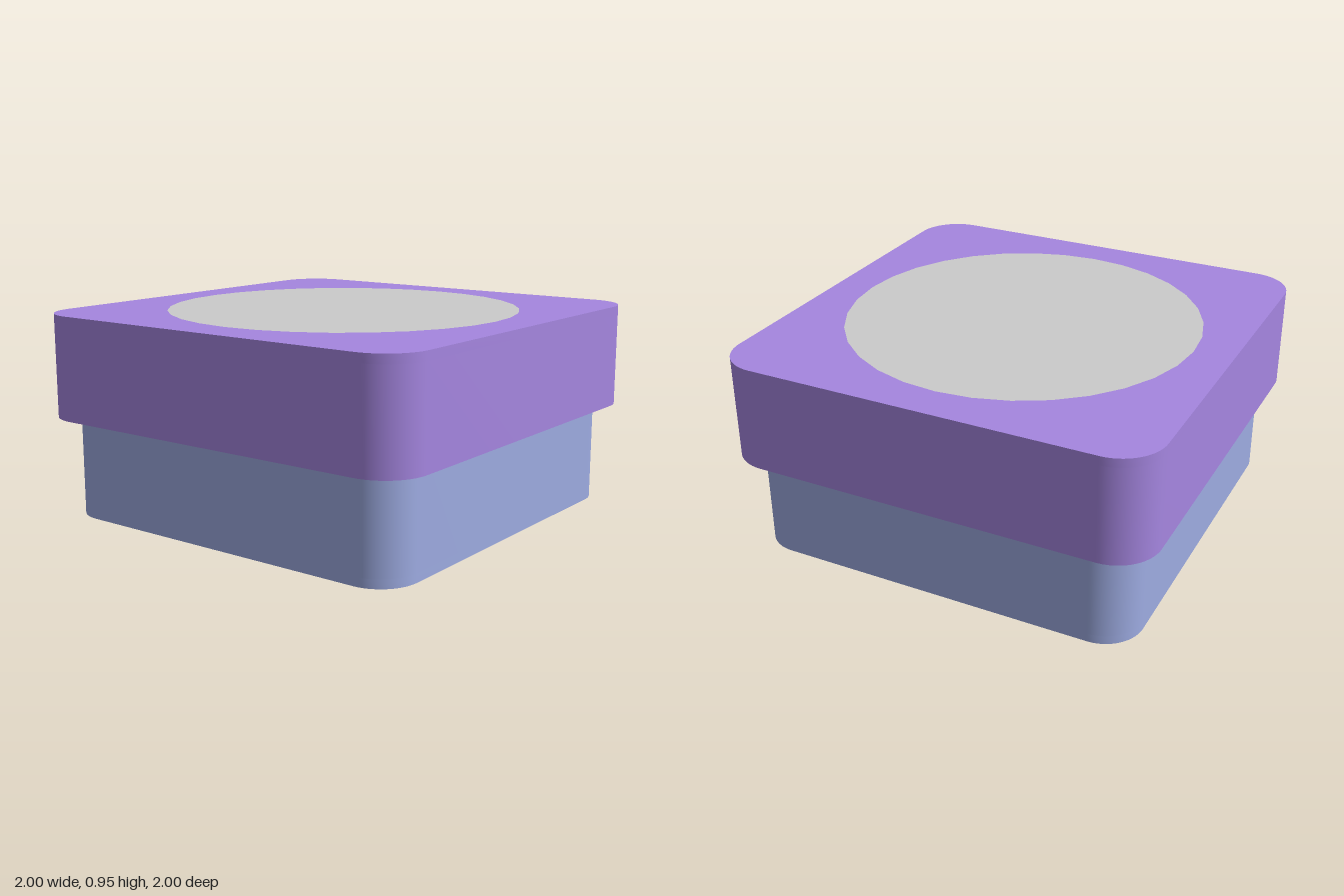
import * as THREE from 'three';
import { toCreasedNormals } from 'three/addons/utils/BufferGeometryUtils.js';

// Square outline with rounded corners, h = half width
function trace(path, h, r) {
  const c = h - r;
  path.moveTo(c, -h);
  path.absarc(c, -c, r, -Math.PI / 2, 0);
  path.absarc(c, c, r, 0, Math.PI / 2);
  path.absarc(-c, c, r, Math.PI / 2, Math.PI);
  path.absarc(-c, -c, r, Math.PI, Math.PI * 1.5);
  path.closePath();
  return path;
}

// Upright slab from y0 to y1, hollowed by a wall thickness if one is given
function slab(name, color, h, r, y0, y1, wall = 0) {
  const shape = trace(new THREE.Shape(), h, r);
  if (wall) shape.holes.push(trace(new THREE.Path(), h - wall, r - wall));
  const extruded = new THREE.ExtrudeGeometry(shape, {
    depth: y1 - y0, bevelEnabled: false, curveSegments: 10,
  });
  const geometry = toCreasedNormals(extruded, 0.6);
  geometry.rotateX(-Math.PI / 2).translate(0, y0, 0);
  const mesh = new THREE.Mesh(geometry, new THREE.MeshStandardMaterial({ color }));
  mesh.name = name;
  return mesh;
}

export function createModel() {
  const model = new THREE.Group();
  model.name = 'giftBox';
  const blue = 0x9dabe1, purple = 0xa586e0;

  // Open container
  const base = new THREE.Group();
  base.name = 'base';
  base.add(slab('baseFloor', blue, 0.92, 0.18, 0, 0.04));
  base.add(slab('baseWalls', blue, 0.92, 0.18, 0.04, 0.86, 0.04));

  // Hollow lid that fits over the container with a small gap
  const lid = new THREE.Group();
  lid.name = 'lid';
  lid.add(slab('lidWalls', purple, 1, 0.2, 0.465, 0.905, 0.035));
  lid.add(slab('lidTop', purple, 1, 0.2, 0.905, 0.945));

  // Round panel on the lid
  const panel = new THREE.Mesh(
    new THREE.CircleGeometry(0.82, 32).rotateX(-Math.PI / 2).translate(0, 0.947, 0),
    new THREE.MeshStandardMaterial({ color: 0xcccccc }),
  );
  panel.name = 'lidPanel';
  lid.add(panel);

  model.add(base, lid);
  return model;
}
